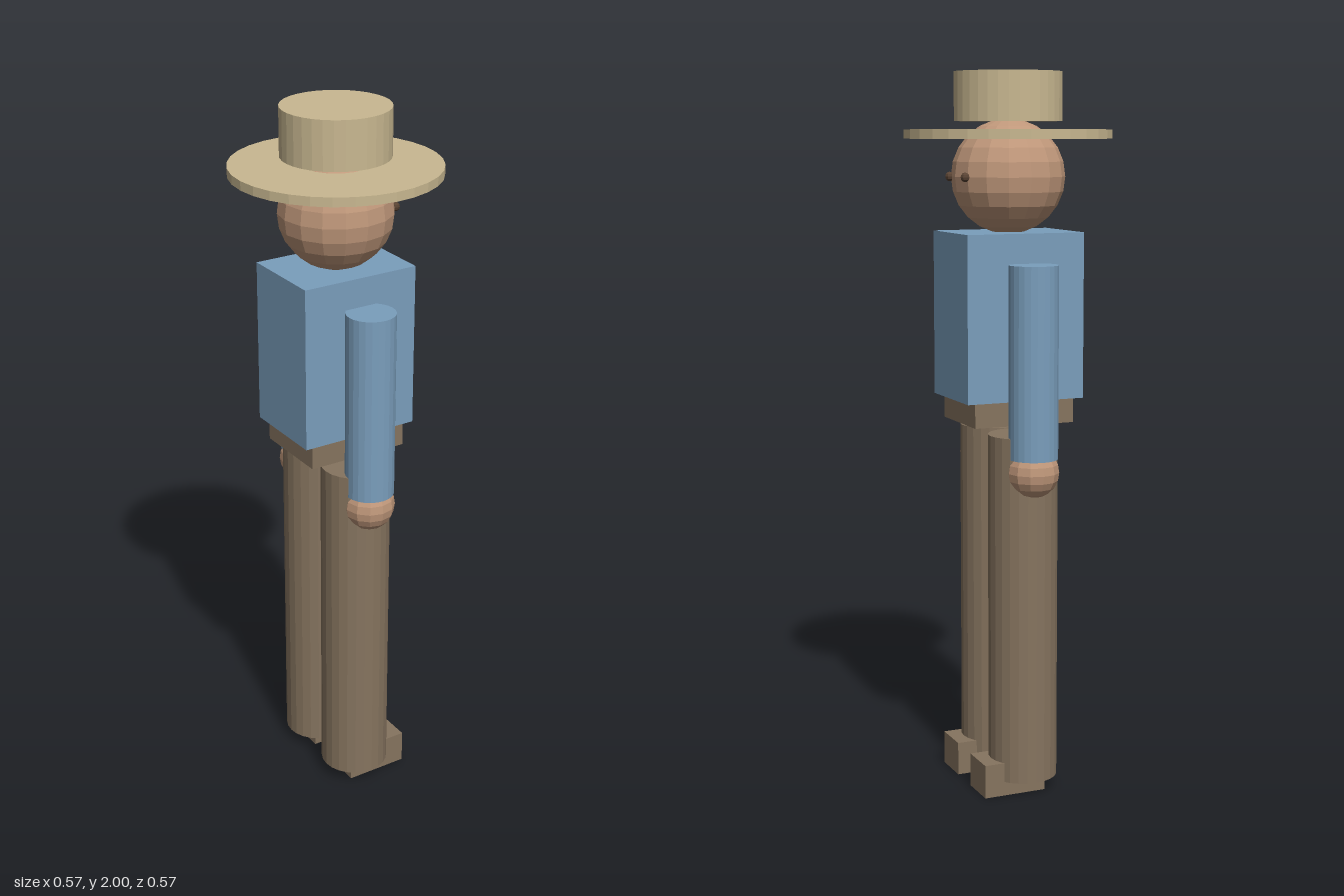
import * as THREE from 'three';

export function createModel() {
  const model = new THREE.Group();
  model.name = 'standingFigure';

  const material = (name, color) => {
    const m = new THREE.MeshStandardMaterial({ color, flatShading: true });
    m.name = name;
    return m;
  };
  const straw = material('straw', 0xc9b891);
  const skin = material('skin', 0xbf977a);
  const shirt = material('shirtBlue', 0x7a9ebc);
  const brown = material('trouserBrown', 0x86745f);
  const dark = material('eyeBrown', 0x5a4434);

  const add = (name, geometry, mat, x, y, z) => {
    const mesh = new THREE.Mesh(geometry, mat);
    mesh.name = name;
    mesh.position.set(x, y, z);
    model.add(mesh);
  };
  const cylinder = (r, bottom, top, sides) => new THREE.CylinderGeometry(r, r, top - bottom, sides);

  // Hat: thin brim and a crown resting on the top of the head
  add('hatBrim', cylinder(0.285, 1.82, 1.845, 32), straw, 0, 1.8325, 0);
  add('hatCrown', cylinder(0.148, 1.867, 2, 32), straw, 0, 1.9335, 0);

  // Head, torso and hips
  add('head', new THREE.SphereGeometry(0.157, 16, 12), skin, 0, 1.718, 0);
  add('torso', new THREE.BoxGeometry(0.344, 0.457, 0.25), shirt, 0, 1.3395, 0);
  add('hips', new THREE.BoxGeometry(0.294, 0.068, 0.23), brown, 0, 1.077, 0);

  // Paired parts; the figure looks along +x
  for (const [label, s] of [['front', 1], ['back', -1]]) {
    add(label + 'Eye', new THREE.SphereGeometry(0.013, 8, 6), dark, 0.15, 1.718, s * 0.056);
    add(label + 'Arm', cylinder(0.068, 0.96, 1.487, 24), shirt, 0, 1.2235, s * 0.173);
    add(label + 'Hand', new THREE.SphereGeometry(0.072, 12, 10), skin, 0, 0.922, s * 0.171);
    add(label + 'Leg', cylinder(0.097, 0.04, 1.018, 24), brown, 0, 0.529, s * 0.102);
    add(label + 'Shoe', new THREE.BoxGeometry(0.182, 0.095, 0.11), brown, 0.046, 0.0475, s * 0.102);
  }
  return model;
}
